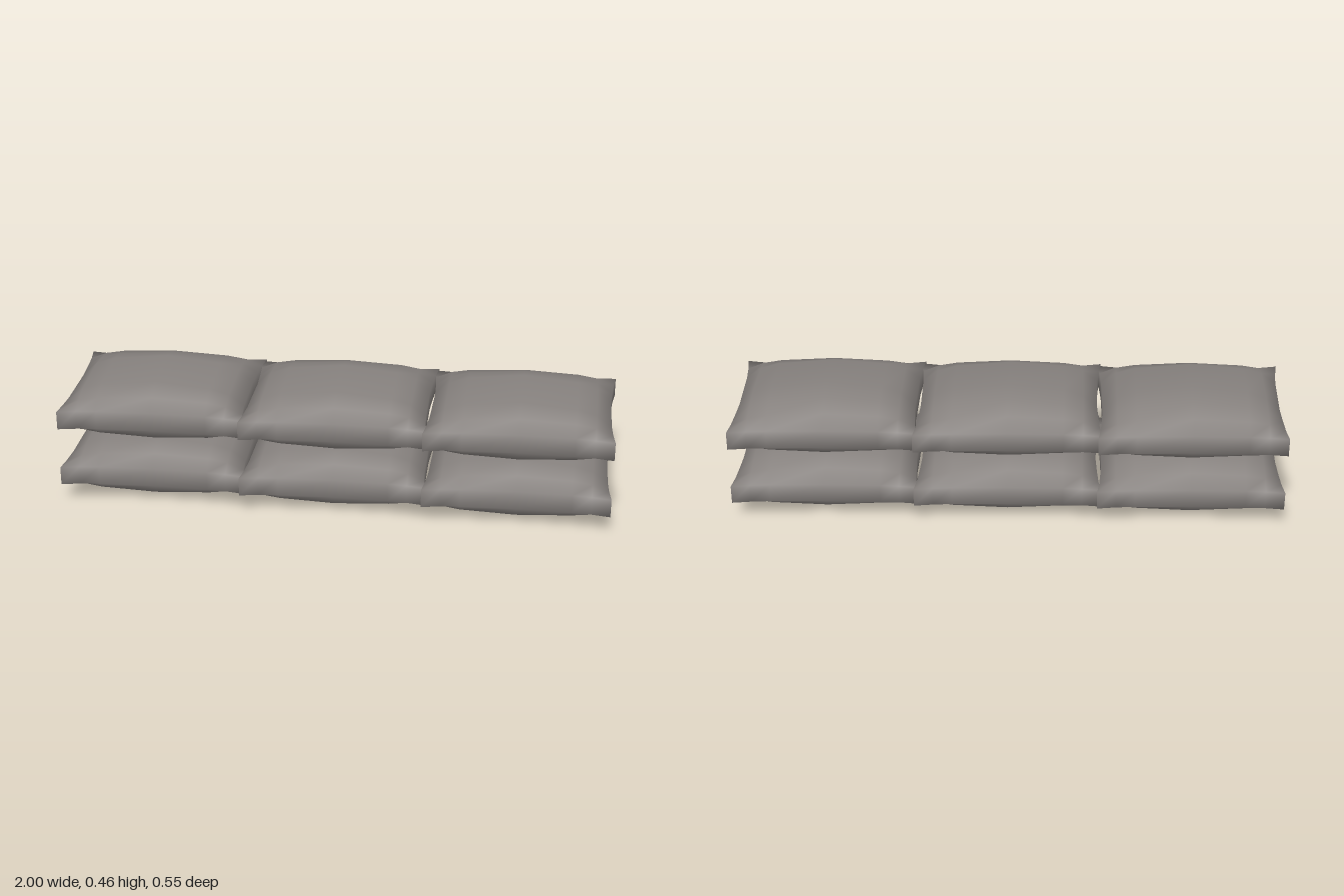
import * as THREE from 'three';
import { mergeVertices } from 'three/addons/utils/BufferGeometryUtils.js';

// Stations across the bag, and how full the bag is at each one
const X = [-0.338, -0.27, -0.2, 0, 0.2, 0.27, 0.338];
const Z = [-0.27, -0.21, -0.14, -0.06, 0.14, 0.21, 0.27];
const FULL_X = [0, 0.52, 0.78, 1, 0.78, 0.52, 0];
const FULL_Z = [0, 0.5, 0.78, 1, 0.83, 0.5, 0];
const BELLY_Z = [0, 0.58, 0.97, 1, 0.97, 0.58, 0];

// Pillow shape: a gridded box whose faces swell and whose edges pull in between the corners
function bagGeometry() {
  let g = new THREE.BoxGeometry(6, 2, 6, 6, 1, 6);
  g.deleteAttribute('normal');
  g.deleteAttribute('uv');
  g = mergeVertices(g);
  const p = g.attributes.position;
  for (let k = 0; k < p.count; k++) {
    const i = Math.round(p.getX(k) + 3);
    const j = Math.round(p.getZ(k) + 3);
    const top = p.getY(k) > 0;
    let x = X[i];
    let z = Z[j];
    if (i === 0 || i === 6) x *= 1 - 0.05 * FULL_Z[j];
    if (j === 0) z *= 1 - 0.06 * FULL_X[i];
    if (j === 6) z *= 1 - 0.09 * FULL_X[i];
    z -= 0.02 * x; // slight skew of the cloth
    const y = top
      ? 0.146 + 0.094 * FULL_X[i] * FULL_Z[j]
      : 0.077 - 0.075 * FULL_X[i] * BELLY_Z[j];
    p.setXYZ(k, x, y, z);
  }
  g.computeVertexNormals();
  return g;
}

export function createModel() {
  const model = new THREE.Group();
  model.name = 'sandbagStack';
  const cloth = new THREE.MeshStandardMaterial({ color: 0x86817e });
  cloth.name = 'grey cloth';
  const geometry = bagGeometry();

  // Two layers of three bags
  for (let layer = 0; layer < 2; layer++) {
    for (let col = -1; col <= 1; col++) {
      const bag = new THREE.Mesh(geometry, cloth);
      bag.name = `${layer ? 'upper' : 'lower'}Bag${col + 2}`;
      bag.position.set(col * 0.662, layer * 0.225 - 0.002, 0);
      model.add(bag);
    }
  }
  return model;
}
